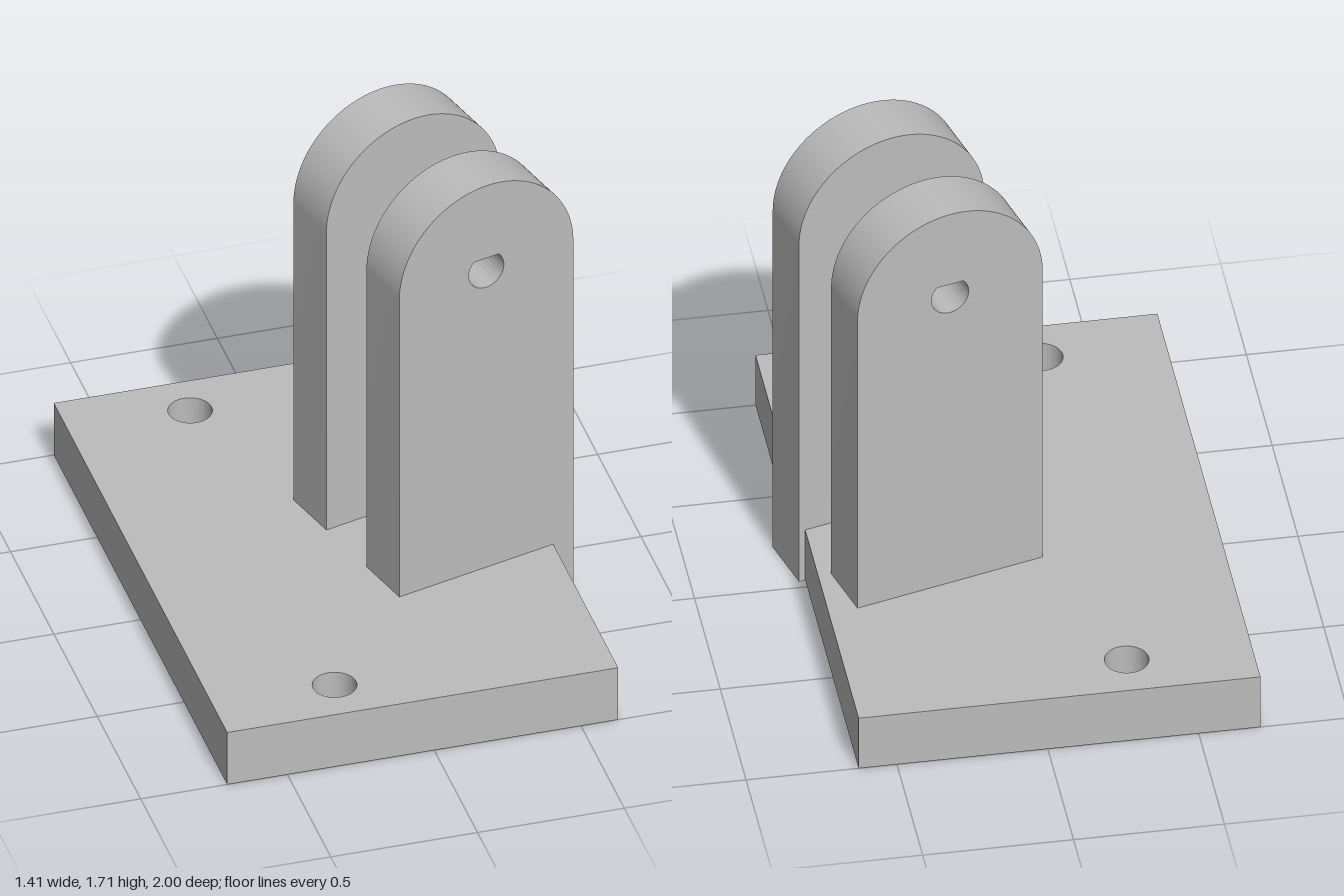
import * as THREE from 'three';
import { toCreasedNormals } from 'three/addons/utils/BufferGeometryUtils.js';

const PLATE = { left: -0.705, right: 0.627, halfDepth: 1, height: 0.205 };
const LUG = { radius: 0.333, axisY: 1.377, thickness: 0.206, spacing: 0.457, hole: 0.067 };

function extrude(shape, depth) {
  const geometry = new THREE.ExtrudeGeometry(shape, { depth, bevelEnabled: false, curveSegments: 40 });
  return toCreasedNormals(geometry, Math.PI / 6);
}

// Rectangular base with two screw holes
function plateGeometry() {
  const { left, right, halfDepth, height } = PLATE;
  const shape = new THREE.Shape();
  shape.moveTo(left, -halfDepth);
  shape.lineTo(right, -halfDepth);
  shape.lineTo(right, halfDepth);
  shape.lineTo(left, halfDepth);
  shape.closePath();
  for (const side of [-1, 1]) {
    const hole = new THREE.Path();
    hole.absarc(-0.29, side * 0.833, 0.073, 0, Math.PI * 2, true);
    shape.holes.push(hole);
  }
  return extrude(shape, height).rotateX(-Math.PI / 2);
}

// Round-topped lug with a teardrop pin hole
function lugGeometry() {
  const { radius, axisY, thickness, hole: r } = LUG;
  const shape = new THREE.Shape();
  shape.moveTo(-radius, 0);
  shape.lineTo(radius, 0);
  shape.lineTo(radius, axisY);
  shape.absarc(0, axisY, radius, 0, Math.PI, false);
  shape.closePath();
  const hole = new THREE.Path();
  hole.moveTo(0, axisY + r * Math.SQRT2);
  hole.absarc(0, axisY, r, Math.PI * 0.75, Math.PI * 2.25, false);
  hole.closePath();
  shape.holes.push(hole);
  return extrude(shape, thickness).translate(0, 0, -thickness / 2);
}

export function createModel() {
  const grey = new THREE.MeshStandardMaterial({ color: 0xbcbcbc });
  grey.name = 'light grey';
  const model = new THREE.Group();
  model.name = 'hingeBracket';

  const plate = new THREE.Mesh(plateGeometry(), grey);
  plate.name = 'basePlate';
  model.add(plate);

  // Pair of lugs turned together on the plate
  const lugs = new THREE.Group();
  lugs.name = 'lugPair';
  lugs.position.set(0.294, 0, -0.004);
  lugs.rotation.y = THREE.MathUtils.degToRad(15);
  const geometry = lugGeometry();
  for (const [name, side] of [['frontLug', 1], ['backLug', -1]]) {
    const lug = new THREE.Mesh(geometry, grey);
    lug.name = name;
    lug.position.z = side * LUG.spacing / 2;
    lugs.add(lug);
  }
  model.add(lugs);
  return model;
}
